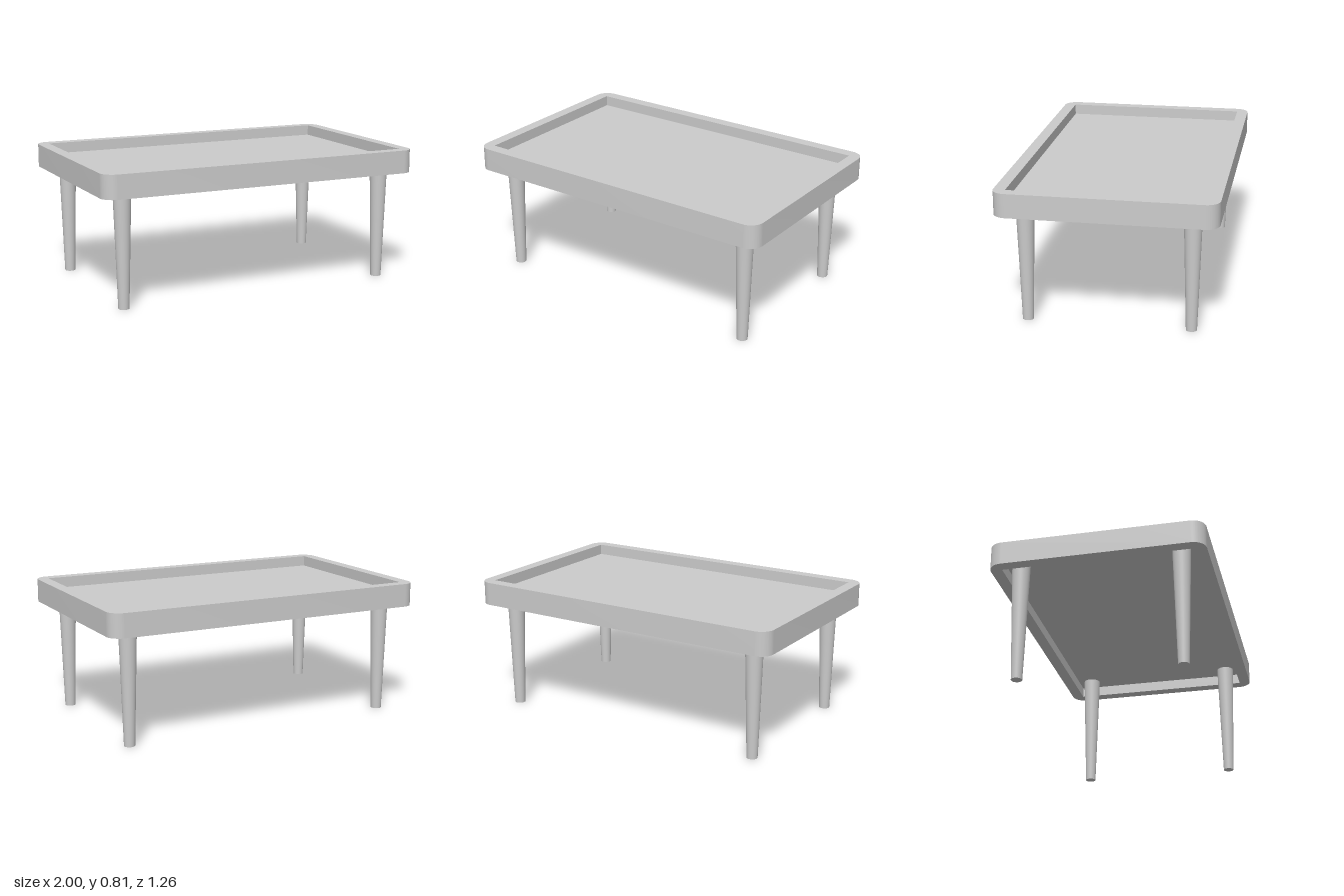
import * as THREE from 'three';
import { toCreasedNormals } from 'three/addons/utils/BufferGeometryUtils.js';

const HALF_X = 1, HALF_Z = 0.63;
const RIM = 0.07, CORNER = 0.08;
const FRAME_BOTTOM = 0.665, FRAME_TOP = 0.805;
const PANEL_BOTTOM = 0.73, PANEL_TOP = 0.74;

const material = new THREE.MeshStandardMaterial({ color: 0xcccccc });

// Rectangle with rounded corners, centred on the origin
function roundedRect(hx, hy, r) {
  const s = new THREE.Shape();
  s.moveTo(-hx + r, -hy);
  s.lineTo(hx - r, -hy);
  s.absarc(hx - r, -hy + r, r, -Math.PI / 2, 0, false);
  s.lineTo(hx, hy - r);
  s.absarc(hx - r, hy - r, r, 0, Math.PI / 2, false);
  s.lineTo(-hx + r, hy);
  s.absarc(-hx + r, hy - r, r, Math.PI / 2, Math.PI, false);
  s.lineTo(-hx, -hy + r);
  s.absarc(-hx + r, -hy + r, r, Math.PI, Math.PI * 1.5, false);
  return s;
}

function addMesh(parent, name, geometry) {
  const mesh = new THREE.Mesh(geometry, material);
  mesh.name = name;
  parent.add(mesh);
  return mesh;
}

export function createModel() {
  const table = new THREE.Group();
  table.name = 'table';

  // Frame: rounded outside, square-cornered opening
  const ix = HALF_X - RIM, iz = HALF_Z - RIM;
  const outline = roundedRect(HALF_X, HALF_Z, CORNER);
  outline.holes.push(new THREE.Path([
    new THREE.Vector2(-ix, -iz), new THREE.Vector2(-ix, iz),
    new THREE.Vector2(ix, iz), new THREE.Vector2(ix, -iz),
  ]));
  const frame = new THREE.ExtrudeGeometry(outline, {
    depth: FRAME_TOP - FRAME_BOTTOM, bevelEnabled: false, curveSegments: 12,
  });
  frame.rotateX(-Math.PI / 2);
  frame.translate(0, FRAME_BOTTOM, 0);
  addMesh(table, 'frame', toCreasedNormals(frame, Math.PI / 6));

  // Thin panel set halfway down inside the frame
  addMesh(table, 'panel', new THREE.BoxGeometry(ix * 2, PANEL_TOP - PANEL_BOTTOM, iz * 2))
    .position.y = (PANEL_TOP + PANEL_BOTTOM) / 2;

  // Tapered round legs, reaching up to the panel
  const legGeometry = new THREE.CylinderGeometry(0.054, 0.032, PANEL_BOTTOM, 32);
  for (const [side, x] of [['Left', 0.842], ['Right', -0.842]]) {
    for (const [end, z] of [['front', 0.473], ['back', -0.473]]) {
      addMesh(table, `${end}${side}Leg`, legGeometry).position.set(x, PANEL_BOTTOM / 2, z);
    }
  }
  return table;
}
